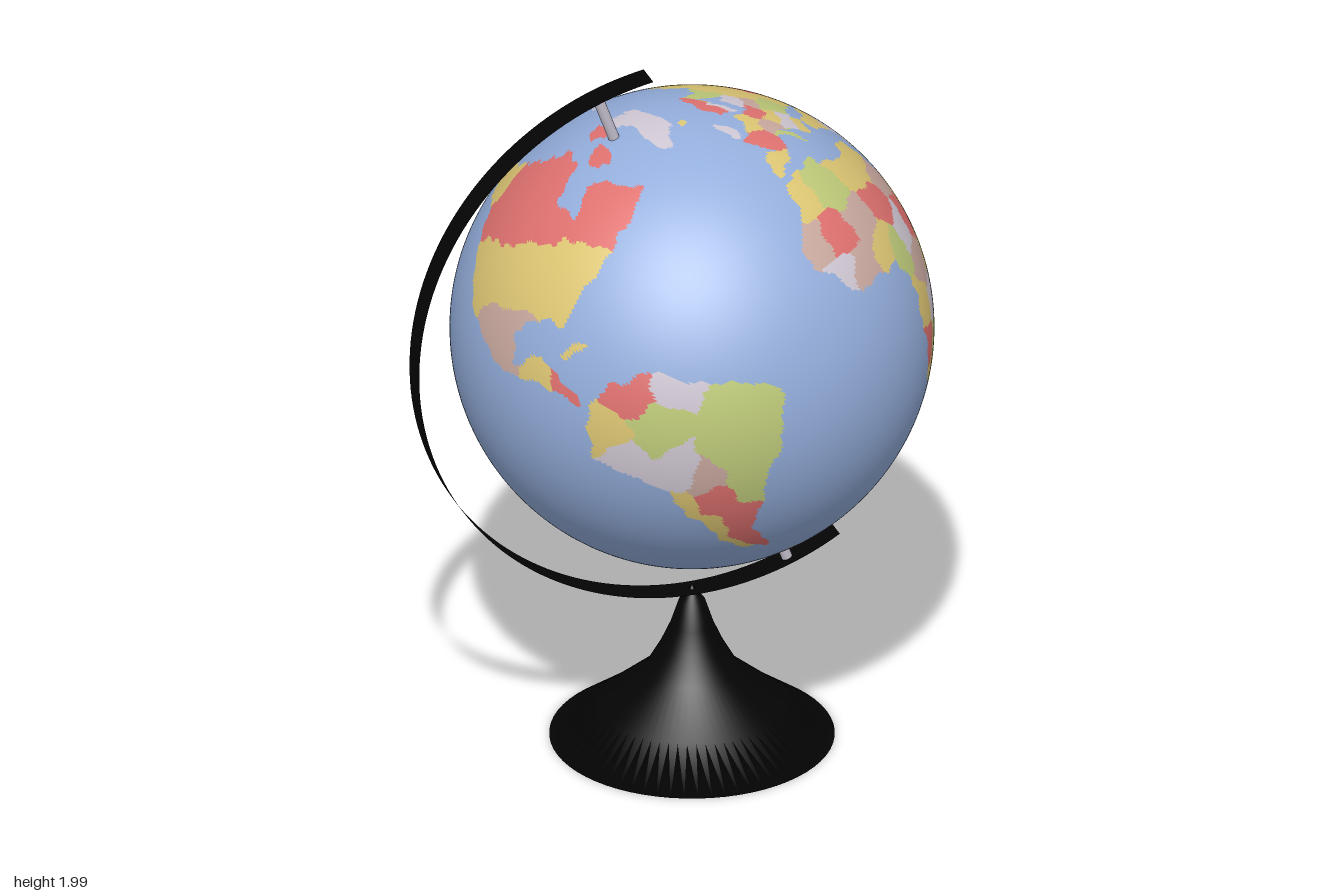
import * as THREE from 'three';

const CENTER = new THREE.Vector3(0.07, 1.217, 0), RADIUS = 0.645, ARC = 0.783;
const { degToRad, radToDeg } = THREE.MathUtils;
const COLOURS = ['ocean', 'red', 'yellow', 'green', 'lavender', 'tan'];

function paint(name, color, side = THREE.FrontSide) {
  const material = new THREE.MeshStandardMaterial({ color, side });
  material.name = name;
  return material;
}

const pairs = (flat) => flat.flatMap((x, i) => (i % 2 ? [] : [[x, flat[i + 1]]]));

// A land is a coast outline (lon, lat) and country centres listed by colour
function land(coast, countries) {
  const centres = Object.entries(countries).flatMap(([colour, flat]) => pairs(flat).map(([lon, lat]) => ({ lon, lat, colour })));
  return { coast: pairs(coast), centres };
}

const africa = land(
  [-19, 15, -18, 21, -8, 35, 9, 37, 10, 33, 19, 30, 31, 31, 37, 19, 42, 11, 50, 12, 46, 4, 38, -5,
    39, -15, 33, -25, 26, -34, 18, -34, 11, -17, 12, -10, 8, 4, -9, 4],
  {
    yellow: [-8, 31, 16, 27, 37, 9, 7, 9, 33, -6, 16, -12, 22, -30, 28, 27],
    tan: [31, 17, 5, 17, 22, -3, -6, 8, 29, -19, -15, 20],
    red: [-6, 18, 16, 15, 30, 7, 16, -22],
    green: [2, 28, 12, 5, 37, 1, 23, -22],
    lavender: [-11, 10, 20, 7, 25, -14, 36, -17],
  },
);
const europe = land(
  [-7, 37, -7, 43, 1, 44, -3, 49, 9, 54, 10, 56, 21, 55, 24, 60, 31, 61, 26, 66, 20, 63, 18, 57, 9, 59,
    10, 63, 22, 71, 40, 67, 68, 69, 57, 55, 55, 42, 43, 42, 34, 46, 30, 43, 25, 38, 14, 46, 18, 38, 10, 45, 1, 39],
  {
    yellow: [-2, 40, 12, 52, 21, 48, 24, 40, 40, 56, 50, 60, 48, 46],
    red: [4, 47, 13, 62, 20, 68, 21, 53, 57, 49],
    green: [14, 42, 30, 66, 33, 50],
    lavender: [20, 61, 22, 45, 27, 57],
    tan: [15, 48, 30, 54],
  },
);
const northAsia = land(
  [54, 69, 62, 72, 75, 72, 90, 70, 109, 67, 125, 64, 140, 61, 154, 59, 168, 62, 180, 59, 174, 54, 163, 52,
    160, 45, 155, 50, 148, 53, 136, 49, 138, 44, 131, 38, 129, 31, 125, 35, 119, 33, 122, 27, 119, 20,
    108, 18, 98, 22, 78, 30, 52, 38, 54, 55],
  {
    yellow: [63, 62, 93, 59, 120, 56, 150, 57, 172, 58, 134, 43, 108, 52],
    red: [65, 48, 76, 47, 127, 35],
    green: [83, 40, 95, 32, 112, 29, 115, 37, 122, 40],
    tan: [73, 41, 101, 45],
    lavender: [57, 39],
  },
);
const southAsia = land(
  [29, 37, 38, 34, 38, 26, 46, 9, 58, 13, 63, 19, 54, 21, 51, 26, 60, 22, 73, 17, 81, 4, 84, 11, 95, 17,
    101, 12, 106, -2, 104, 7, 113, 8, 110, 16, 115, 22, 103, 30, 57, 38, 51, 41, 29, 41],
  {
    yellow: [36, 37, 48, 19, 81, 16, 78, 23, 107, 14],
    tan: [57, 28, 105, 0],
    lavender: [43, 31, 64, 26, 104, 11],
    red: [70, 31, 99, 17],
    green: [47, 27, 90, 25, 103, 27],
  },
);
const northAmerica = land(
  [-165, 58, -159, 66, -137, 70, -95, 75, -82, 69, -92, 60, -80, 52, -76, 62, -62, 60, -50, 54, -63, 46,
    -77, 36, -88, 27, -92, 30, -105, 28, -105, 20, -95, 21, -91, 14, -87, 8, -102, 16, -113, 20, -125, 33,
    -132, 43, -138, 54, -152, 57],
  {
    yellow: [-150, 62, -125, 44, -108, 43, -92, 42, -78, 39, -98, 14],
    red: [-131, 63, -130, 54, -112, 54, -92, 54, -76, 53, -67, 48, -93, 12],
    tan: [-110, 24],
  },
);
const southAmerica = land(
  [-85, 7, -80, 11, -70, 11, -60, 6, -41, -4, -41, -10, -45, -17, -54, -31, -61, -39, -61, -54, -70, -50,
    -73, -40, -75, -31, -77, -21, -83, -13, -91, -5, -90, 0],
  {
    green: [-72, -3, -55, -6, -58, -15, -58, -20, -56, -27],
    yellow: [-85, 0, -77, -27, -75, -36, -71, -47],
    red: [-75, 8, -66, -28, -63, -36, -65, -46],
    lavender: [-63, 7, -84, -9, -71, -15],
    tan: [-66, -20],
  },
);
const greenland = land([-45, 80, -30, 84, 5, 82, -8, 74, -9, 70, -25, 63, -31, 62, -33, 69, -30, 76], { lavender: [-20, 75] });
const australia = land(
  [116, -26, 128, -18, 139, -16, 141, -21, 144, -15, 155, -29, 152, -41, 140, -39, 130, -36, 117, -39],
  { green: [134, -29] },
);
const lands = [africa, europe, northAsia, southAsia, northAmerica, southAmerica, greenland, australia];

// Oval islands and inland seas: centre lon, lat, half width, half height
const oval = (colour, lon, lat, w, h) => ({ colour, lon, lat, w, h });
const ovals = [
  oval('ocean', 50, 42, 2.5, 4), oval('ocean', 34, 43, 6, 2), oval('ocean', -26, -77, 22, 5),
  oval('green', 47, -20, 2, 5), oval('yellow', -7, 66, 3, 1),
  oval('lavender', -1, 55, 2.5, 4), oval('tan', 142, 32, 2.5, 4),
  oval('tan', 126, 4, 2, 4), oval('tan', 106, -7, 2.5, 5),
  oval('tan', 120, -6, 4, 3), oval('tan', 141, -11, 3, 2.5),
  oval('red', 148, -14, 3, 3), oval('yellow', 174, -46, 1.5, 3),
  oval('red', -66, 70, 8, 4), oval('red', -62, 80, 18, 3),
  oval('lavender', 128, 83, 12, 1.3), oval('yellow', -85, 21, 4, 1),
  oval('tan', -52, -71, 11, 3),
];

function inside(coast, lon, lat) {
  let hit = false;
  coast.forEach(([x1, y1], i) => {
    const [x2, y2] = coast[(i + 1) % coast.length];
    if ((y1 > lat) !== (y2 > lat) && lon < x1 + ((lat - y1) / (y2 - y1)) * (x2 - x1)) hit = !hit;
  });
  return hit;
}

function colourAt(lon0, lat0) {
  // Gentle waves make coasts and borders irregular
  const lat = lat0 + 0.6 * Math.sin(lon0 * 0.4) + 0.4 * Math.sin(lon0 * 0.9);
  const lon = (lon0 < -177 ? lon0 + 360 : lon0) + 0.7 * Math.sin(lat0 * 0.4) + 0.5 * Math.sin(lat0);
  const island = ovals.find((o) => Math.hypot((lon - o.lon) / o.w, (lat - o.lat) / o.h) < 1);
  if (island) return island.colour;
  // Antarctic cap
  if (lat < -72 + 4 * Math.cos(degToRad(lon - 40))) return 'tan';
  const home = lands.find((l) => inside(l.coast, lon, lat));
  if (!home) return 'ocean';
  const squeeze = Math.cos(degToRad(lat));
  const distance = (c) => Math.hypot((lon - c.lon) * squeeze, lat - c.lat);
  return home.centres.reduce((a, b) => (distance(b) < distance(a) ? b : a)).colour;
}

// Smooth ball whose faces are sorted into one geometry group per map colour
function makeBall() {
  const geo = new THREE.SphereGeometry(RADIUS, 376, 188);
  const pos = geo.attributes.position, index = geo.index.array;
  const buckets = COLOURS.map(() => []);
  const c = new THREE.Vector3(), v = new THREE.Vector3();
  for (let i = 0; i < index.length; i += 3) {
    const face = [index[i], index[i + 1], index[i + 2]];
    c.set(0, 0, 0);
    face.forEach((k) => c.add(v.fromBufferAttribute(pos, k)));
    c.normalize();
    const colour = colourAt(radToDeg(Math.atan2(-c.z, c.x)), radToDeg(Math.asin(c.y)));
    buckets[COLOURS.indexOf(colour)].push(...face);
  }
  geo.setIndex(buckets.flat());
  let start = 0;
  buckets.forEach((b, m) => {
    geo.addGroup(start, b.length, m);
    start += b.length;
  });

  const ball = new THREE.Mesh(geo, [
    paint('ocean blue', 0x94aedc), paint('map red', 0xe07270), paint('map yellow', 0xdec774),
    paint('map green', 0xbfcb7a), paint('map lavender', 0xd0c8d4), paint('map tan', 0xcaaaa0),
  ]);
  ball.name = 'globeBall';
  // Turn the map by its north pole and its zero meridian
  const north = new THREE.Vector3(-0.31, 0.915, -0.255).normalize();
  const zero = new THREE.Vector3(0.63, 0.4, 0.666).projectOnPlane(north).normalize();
  ball.quaternion.setFromRotationMatrix(new THREE.Matrix4().makeBasis(zero, north, zero.clone().cross(north)));
  ball.position.copy(CENTER);
  return ball;
}

export function createModel() {
  const model = new THREE.Group();
  const black = paint('stand black', 0x040404, THREE.DoubleSide);
  const metal = paint('pin metal', 0xc2bdca);
  const add = (name, geo, material, parent = model) => {
    const mesh = new THREE.Mesh(geo, material);
    mesh.name = name;
    parent.add(mesh);
    return mesh;
  };

  model.add(makeBall());

  // Tilted pins at both ends of the axis
  const axis = new THREE.Group();
  axis.name = 'axis';
  axis.position.copy(CENTER);
  axis.rotation.z = degToRad(20);
  model.add(axis);
  const pin = new THREE.CylinderGeometry(0.015, 0.015, 0.16, 16);
  add('topPin', pin, metal, axis).position.y = 0.702;
  add('bottomPin', pin, metal, axis).position.y = -0.702;

  // Thin curved band that carries the pins, open towards +x
  const band = new THREE.CylinderGeometry(ARC, ARC, 0.078, 96, 1, true, degToRad(99 + 90), degToRad(202));
  band.rotateX(Math.PI / 2);
  add('carryingBand', band, black).position.copy(CENTER);

  // Flared foot
  const profile = pairs([0, 0, 0.38, 0, 0.25, 0.095, 0.125, 0.2, 0.085, 0.27, 0.058, 0.33, 0.035, 0.4, 0, 0.445]);
  const foot = new THREE.LatheGeometry(profile.map(([x, y]) => new THREE.Vector2(x, y)), 64);
  add('foot', foot, black).position.x = CENTER.x;
  return model;
}
